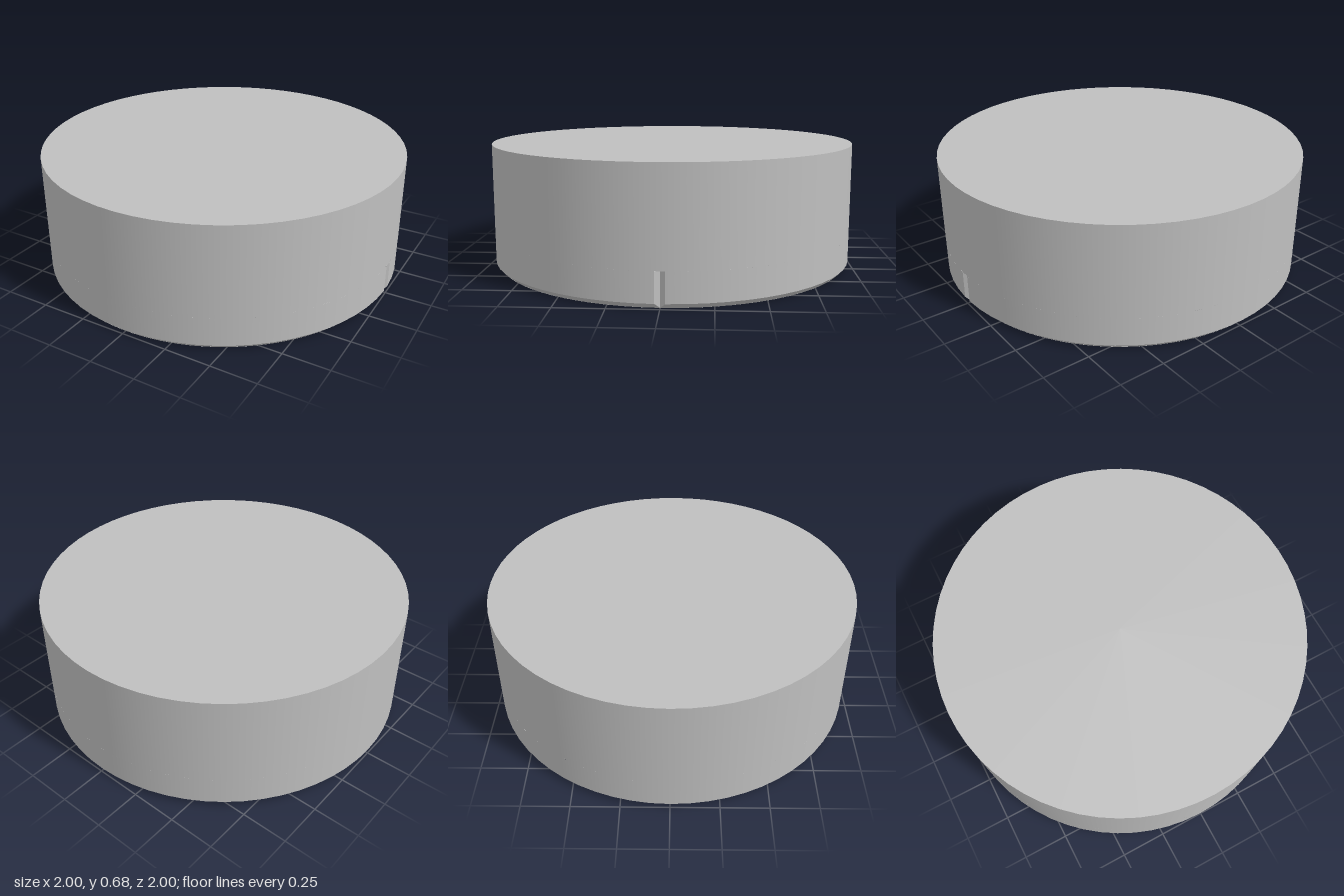
import * as THREE from 'three';

const R = 1, HEIGHT = 0.675, CHAMFER = 0.026, SEGMENTS = 64;
const RECESS_R = 0.5, RECESS_DEPTH = 0.295;
const HOLE_R = 0.125, HOLE_RING = 0.79, HOLE_DEPTH = 0.295;
const NOTCH_TOP = 0.18, NOTCH_HALF = 0.025;

export function createModel() {
  const group = new THREE.Group();
  const metal = new THREE.MeshStandardMaterial({ color: 0xbfbfbf, side: THREE.DoubleSide });
  const low = R - CHAMFER;                  // radius of the flat underside
  const t = Math.asin(NOTCH_HALF / R);      // half angle of the notch at the wall

  const add = (name, geometry) => {
    const mesh = new THREE.Mesh(geometry, metal);
    mesh.name = name;
    group.add(mesh);
    return mesh;
  };
  // One straight band of revolution, so neighbouring bands keep a sharp edge
  const band = (name, r0, y0, r1, y1, gap = 0, segments = SEGMENTS) =>
    add(name, new THREE.LatheGeometry(
      [new THREE.Vector2(r0, y0), new THREE.Vector2(r1, y1)],
      segments, Math.PI / 2 + gap, Math.PI * 2 - 2 * gap));
  // Horizontal disc facing up or down
  const disc = (name, r, y, up, segments = SEGMENTS) => {
    const g = new THREE.CircleGeometry(r, segments);
    g.rotateX(up ? -Math.PI / 2 : Math.PI / 2);
    g.translate(0, y, 0);
    return add(name, g);
  };

  // Outer body, with an opening in the lower bands for the notch
  disc('topFace', R, HEIGHT, true);
  band('upperWall', R, NOTCH_TOP, R, HEIGHT);
  band('lowerWall', R, CHAMFER, R, NOTCH_TOP, t);
  band('bottomChamfer', low, 0, R, CHAMFER, t);

  // V-shaped notch on the +x side, running out into the chamfer
  const rim = R * Math.cos(t), v = [];
  for (const s of [1, -1]) {
    const z = s * NOTCH_HALF;
    const apexLow = [low, 0, 0], apexHigh = [low, NOTCH_TOP, 0];
    const edgeLow = [rim, CHAMFER, z], edgeHigh = [rim, NOTCH_TOP, z];
    const foot = [low * Math.cos(t), 0, s * low * Math.sin(t)];
    const tris = [
      [apexLow, edgeLow, edgeHigh], [apexLow, edgeHigh, apexHigh],  // side
      [apexHigh, edgeHigh, [R, NOTCH_TOP, 0]],                      // roof
      [foot, edgeLow, apexLow],                                     // chamfer filler
    ];
    tris.forEach(([a, b, c], i) => {
      const flip = (s > 0) === (i < 2);
      v.push(...a, ...(flip ? c : b), ...(flip ? b : c));
    });
  }
  const notch = new THREE.BufferGeometry();
  notch.setAttribute('position', new THREE.Float32BufferAttribute(v, 3));
  notch.computeVertexNormals();
  add('notch', notch);

  // Underside plate with the recess and the ring of eight holes cut out
  const plate = new THREE.Shape().absarc(0, 0, low, 0, Math.PI * 2, false);
  const cut = (x, y, r) =>
    plate.holes.push(new THREE.Path().absarc(x, y, r, 0, Math.PI * 2, true));
  cut(0, 0, RECESS_R + CHAMFER);
  for (let i = 0; i < 8; i++) {
    const a = i * Math.PI / 4;
    const x = HOLE_RING * Math.cos(a), z = HOLE_RING * Math.sin(a);
    cut(x, z, HOLE_R);
    band('holeWall', HOLE_R, HOLE_DEPTH, HOLE_R, 0, 0, 32).position.set(x, 0, z);
    disc('holeEnd', HOLE_R, HOLE_DEPTH, false, 32).position.set(x, 0, z);
  }
  const under = new THREE.ShapeGeometry(plate, SEGMENTS);
  under.rotateX(Math.PI / 2);
  add('underside', under);

  // Central recess
  band('recessChamfer', RECESS_R, CHAMFER, RECESS_R + CHAMFER, 0);
  band('recessWall', RECESS_R, RECESS_DEPTH, RECESS_R, CHAMFER);
  disc('recessCeiling', RECESS_R, RECESS_DEPTH, false);

  return group;
}
